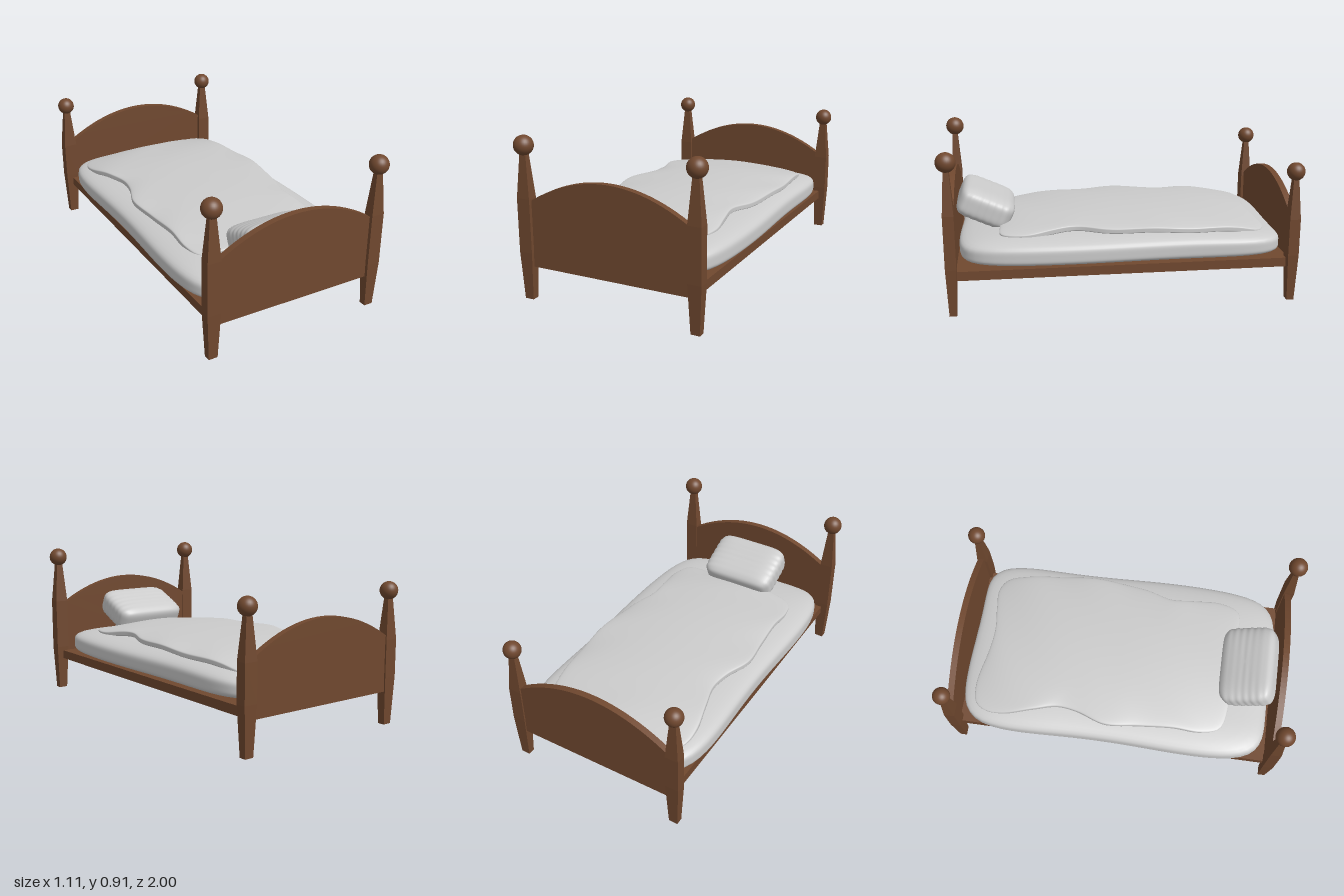
import * as THREE from 'three';

const wood = new THREE.MeshStandardMaterial({ color: 0x70482f });
const woodFlat = new THREE.MeshStandardMaterial({ color: 0x70482f, flatShading: true });
const cloth = new THREE.MeshStandardMaterial({ color: 0xcccccc });

function add(parent, name, geometry, material, x = 0, y = 0, z = 0) {
  const mesh = new THREE.Mesh(geometry, material);
  mesh.name = name;
  mesh.position.set(x, y, z);
  parent.add(mesh);
  return mesh;
}

// Point of a unit superellipse in the direction of angle t
function superellipse(t, n) {
  const c = Math.cos(t), s = Math.sin(t);
  const r = (Math.abs(c) ** n + Math.abs(s) ** n) ** (-1 / n);
  return [c * r, s * r];
}

// Outline with rounded corners, in x and z
function roundedOutline(halfX, halfZ, n, count = 128) {
  return Array.from({ length: count }, (_, i) => {
    const [c, s] = superellipse((i / count) * Math.PI * 2, n);
    return new THREE.Vector2(c * halfX, s * halfZ);
  });
}

// Closed soft body: the outline shrinks to a point below and above.
// place(x, z, k, h) gives the vertex, k = distance from centre 0..1, h = height -1..1
function softBody(outline, n, place, rings = 40) {
  const positions = [], index = [], count = outline.length;
  for (let j = 0; j <= rings; j++) {
    const [k, h] = superellipse((j / rings - 0.5) * Math.PI, n);
    const inset = Math.max(k, 0.0001);
    for (const p of outline) positions.push(...place(p.x * inset, p.y * inset, k, h));
  }
  for (let j = 0; j < rings; j++) {
    for (let i = 0; i < count; i++) {
      const a = j * count + i, b = j * count + (i + 1) % count;
      index.push(a, a + count, b, b, a + count, b + count);
    }
  }
  const geometry = new THREE.BufferGeometry();
  geometry.setAttribute('position', new THREE.Float32BufferAttribute(positions, 3));
  geometry.setIndex(index);
  geometry.computeVertexNormals();
  return geometry;
}

// Square post, tapered to the foot and to the top
function postGeometry(shoulder, top) {
  const profile = [[0, 0], [0.026, 0], [0.039, 0.27], [0.039, shoulder], [0.018, top], [0, top]];
  const points = profile.map(([r, y]) => new THREE.Vector2(r * Math.SQRT2, y));
  return new THREE.LatheGeometry(points, 4).rotateY(Math.PI / 4).scale(1, 1, 0.78);
}

// Panel with an arched top
function panelGeometry(sideY, peakY) {
  const w = 0.465, depth = 0.036;
  const shape = new THREE.Shape();
  shape.moveTo(-w, 0.19);
  shape.lineTo(w, 0.19);
  shape.lineTo(w, sideY);
  shape.quadraticCurveTo(0, 2 * peakY - sideY, -w, sideY);
  return new THREE.ExtrudeGeometry(shape, { depth, bevelEnabled: false, curveSegments: 32 })
    .translate(0, 0, -depth / 2);
}

function bedEnd(name, { z, panelZ, shoulder, postTop, ballY, ballR, sideY, peakY }) {
  const end = new THREE.Group();
  end.name = name;
  add(end, name + 'Panel', panelGeometry(sideY, peakY), wood, 0, 0, panelZ);
  for (const side of [-1, 1]) {
    const prefix = side > 0 ? 'left' : 'right';
    add(end, prefix + 'Post', postGeometry(shoulder, postTop), woodFlat, side * 0.502, 0, z);
    add(end, prefix + 'PostBall', new THREE.SphereGeometry(ballR, 32, 20), wood, side * 0.503, ballY, z);
  }
  return end;
}

function mattressGeometry() {
  return softBody(roundedOutline(0.53, 0.912, 7), 4.5, (x, z, k, h) => {
    const wave = k * 0.008 * Math.sin(z * 5 + (x > 0 ? 0 : 2));
    const drop = 0.02 * Math.max(0, -z - 0.4) * k;
    const y = 0.31 + h * (h > 0 ? 0.09 - drop : 0.066) + (h > 0 ? 0.02 * (1 - k * k) * h : 0);
    return [x + wave - 0.003, y, z - 0.008 + k * 0.006 * Math.sin(x * 8)];
  });
}

function blanketGeometry() {
  // Wavy edge, clockwise from the far right corner
  const edge = [
    [-0.41, -0.83], [-0.3, -0.85], [-0.2, -0.835], [-0.1, -0.81], [0.05, -0.795], [0.2, -0.815],
    [0.33, -0.825], [0.4, -0.78], [0.43, -0.65], [0.45, -0.45], [0.465, -0.25], [0.45, -0.05],
    [0.43, 0.1], [0.385, 0.25], [0.4, 0.4], [0.415, 0.55], [0.37, 0.67], [0.24, 0.68], [0, 0.66],
    [-0.24, 0.665], [-0.38, 0.63], [-0.42, 0.52], [-0.42, 0.35], [-0.435, 0.15], [-0.455, -0.05],
    [-0.4, -0.22], [-0.385, -0.34], [-0.42, -0.48], [-0.46, -0.65], [-0.455, -0.76],
  ].map(([x, z]) => new THREE.Vector3(x, 0, z));
  const outline = new THREE.CatmullRomCurve3(edge, true).getSpacedPoints(160).slice(0, -1)
    .map((p) => new THREE.Vector2(p.x, p.z));
  return softBody(outline, 7, (x, z, k, h) => {
    const slope = z > 0 ? 0.045 * (z / 0.7) ** 2 : 0.065 * (-z / 0.85) ** 3;
    const fold = 0.005 * k ** 4 * Math.sin(z * 14 + x * 9);
    const drape = 0.475 - 0.03 * (x / 0.45) ** 2 - slope + fold;
    return [x, drape - 0.022 + h * 0.022, z];
  }, 64);
}

function pillowGeometry() {
  return softBody(roundedOutline(0.232, 0.162, 6), 4.5, (x, z, k, h) => {
    const rib = 1 + 0.008 * Math.sin(z * 150);
    return [x * rib, h * 0.088 * rib, z];
  }, 48);
}

export function createModel() {
  const bed = new THREE.Group();
  bed.name = 'bed';

  // Wooden frame
  bed.add(bedEnd('headboard', {
    z: 0.945, panelZ: 0.938, shoulder: 0.57, postTop: 0.82,
    ballY: 0.854, ballR: 0.054, sideY: 0.56, peakY: 0.705,
  }));
  bed.add(bedEnd('footboard', {
    z: -0.947, panelZ: -0.951, shoulder: 0.48, postTop: 0.715,
    ballY: 0.747, ballR: 0.05, sideY: 0.505, peakY: 0.65,
  }));
  add(bed, 'bedBase', new THREE.BoxGeometry(1, 0.052, 1.88), wood, 0, 0.219, 0);

  // Bedding
  add(bed, 'mattress', mattressGeometry(), cloth);
  add(bed, 'blanket', blanketGeometry(), cloth);
  const pillow = add(bed, 'pillow', pillowGeometry(), cloth, -0.005, 0.495, 0.757);
  pillow.rotation.x = -0.42;

  return bed;
}
